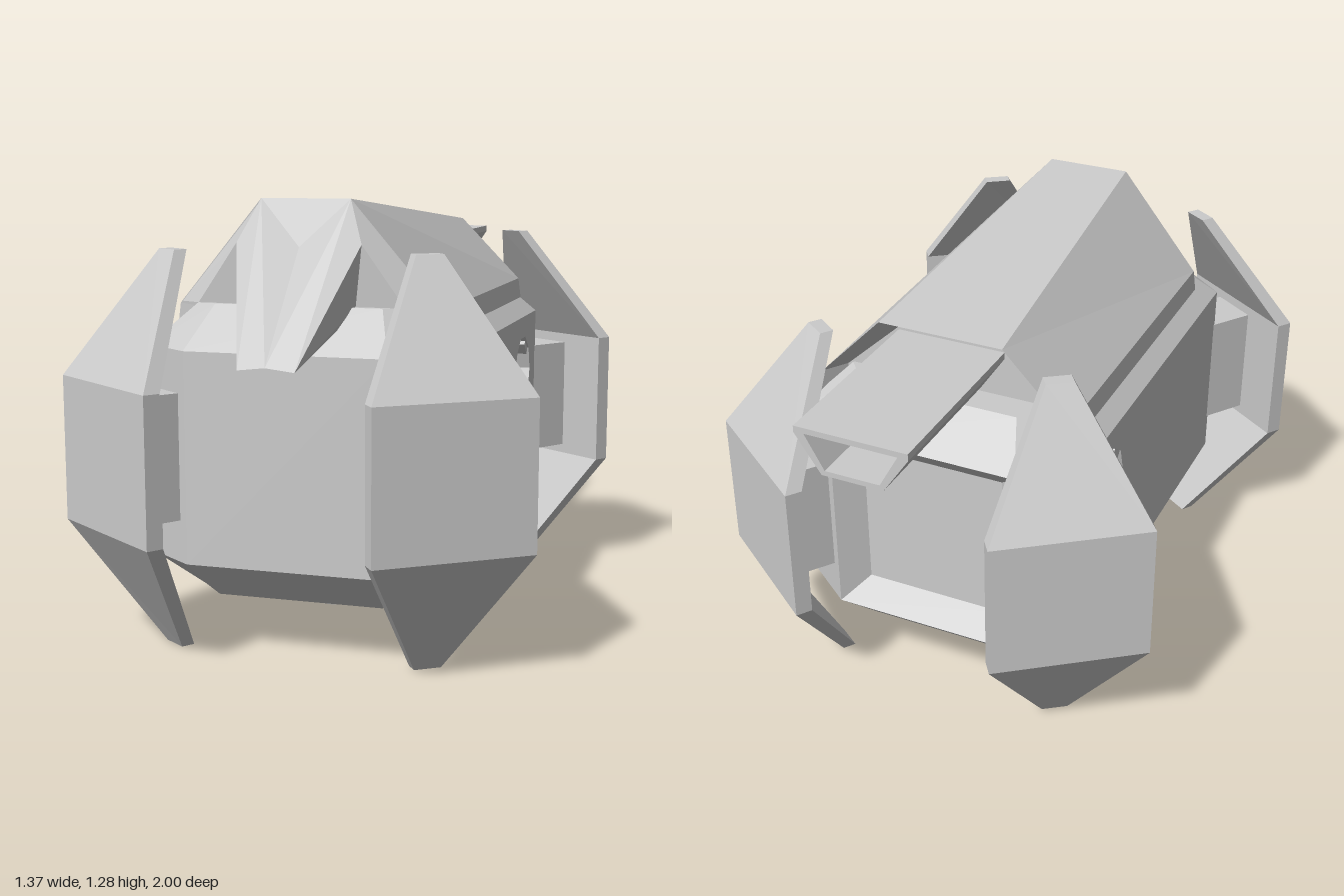
import * as THREE from 'three';
import { ConvexGeometry } from 'three/addons/geometries/ConvexGeometry.js';

const grey = new THREE.MeshStandardMaterial({ color: 0xcccccc, flatShading: true, side: THREE.DoubleSide });

function add(parent, name, geometry) {
  const mesh = new THREE.Mesh(geometry, grey);
  mesh.name = name;
  parent.add(mesh);
  return mesh;
}

// Joins rings of equal length with flat quads; skip(band, edge) leaves openings
function loft(rings, { capStart = true, capEnd = true, skip = () => false } = {}) {
  const pos = [];
  const tri = (...pts) => pts.forEach((p) => pos.push(...p));
  const n = rings[0].length;
  for (let r = 0; r < rings.length - 1; r++) {
    for (let i = 0; i < n; i++) {
      if (skip(r, i)) continue;
      const j = (i + 1) % n, a = rings[r], b = rings[r + 1];
      tri(a[i], a[j], b[j]);
      tri(a[i], b[j], b[i]);
    }
  }
  const first = rings[0], last = rings[rings.length - 1];
  for (let i = 1; i < n - 1; i++) {
    if (capStart) tri(first[0], first[i + 1], first[i]);
    if (capEnd) tri(last[0], last[i], last[i + 1]);
  }
  const g = new THREE.BufferGeometry();
  g.setAttribute('position', new THREE.Float32BufferAttribute(pos, 3));
  g.computeVertexNormals();
  return g;
}

const convex = (pts) => new ConvexGeometry(pts.map((p) => new THREE.Vector3(...p)));
const MID = 0.07; // z of the body's centre
const HOLE = { z: -0.315, y: 0.685, r: 0.122, sides: 10 };

// Eight-sided plan of the body, w and l being half width and half length
function plan(y, inset) {
  const w = 0.44 - inset, l = 0.71 - inset, x = 0.29 - inset * 0.4, e = l - 0.11 + inset * 0.2;
  return [[w, e], [w, -e], [x, -l], [-x, -l], [-w, -e], [-w, e], [-x, l], [x, l]]
    .map(([px, pz]) => [px, y, pz + MID]);
}

function holeRing(x) {
  return Array.from({ length: HOLE.sides }, (_, i) => {
    const a = (i / HOLE.sides) * Math.PI * 2;
    return [x, HOLE.y + HOLE.r * Math.sin(a), HOLE.z + HOLE.r * Math.cos(a)];
  });
}

function buildBody(root) {
  const body = new THREE.Group();
  body.name = 'body';
  root.add(body);
  const rings = [plan(0.155, 0.12), plan(0.27, 0), plan(0.87, 0), plan(0.99, 0.12)];
  add(body, 'bodyShell', loft(rings, { skip: (r, i) => r === 1 && (i === 0 || i === 2 || i === 4) }));

  // Side walls with the through hole
  const wall = new THREE.Shape([[-0.67, 0.27], [0.53, 0.27], [0.53, 0.87], [-0.67, 0.87]]
    .map(([x, y]) => new THREE.Vector2(x, y)));
  wall.holes.push(new THREE.Path(holeRing(0).map(([, y, z]) => new THREE.Vector2(-z, y))));
  for (const s of [1, -1]) {
    const side = add(body, s > 0 ? 'leftWall' : 'rightWall', new THREE.ShapeGeometry(wall));
    side.rotation.y = Math.PI / 2;
    side.position.x = s * 0.44;
  }
  add(body, 'holeLining', loft([holeRing(-0.44), holeRing(0.44)], { capStart: false, capEnd: false }));
  for (let i = 0; i < 4; i++) {
    const a = (i + 0.5) * Math.PI / 2;
    const rail = add(body, 'holeRail', new THREE.BoxGeometry(0.87, 0.025, 0.05));
    rail.position.set(0, HOLE.y + 0.11 * Math.sin(a), HOLE.z + 0.11 * Math.cos(a));
    rail.rotation.x = Math.PI / 2 - a;
  }

  // Recessed rear panel
  const rect = (x, y0, y1, z) => [[x, y0, z], [-x, y0, z], [-x, y1, z], [x, y1, z]];
  add(body, 'rearRecess', loft([rect(0.29, 0.27, 0.87, -0.64), rect(0.22, 0.34, 0.8, -0.57)], { capStart: false }));
}

function buildRoof(root) {
  const section = (z, top, topY, k, topZ = z) => [
    [0.4 * k, 0.87, z], [0.385 * k, 0.98, z], [top * k, topY, topZ],
    [-top * k, topY, topZ], [-0.385 * k, 0.98, z], [-0.4 * k, 0.87, z],
  ];
  add(root, 'roof', loft([
    section(-0.43, 0.18, 1.145, 0.88),
    section(-0.5, 0.19, 1.18, 1),
    section(0.57, 0.13, 1.28, 1, 0.585),
  ]));
}

function buildNose(root) {
  const nose = new THREE.Group();
  nose.name = 'nose';
  root.add(nose);
  const dip = [0, 1.15, 0.645];
  for (const s of [1, -1]) {
    const side = (pts) => convex(pts.map(([x, y, z]) => [s * x, y, z]));
    // Prong running down over the front edge
    add(nose, 'prong', side([[0.13, 1.28, 0.585], [0.18, 1.16, 0.65], [0.08, 0.845, 0.915],
      [0, 0.855, 0.92], dip, [0.16, 0.99, 0.64], [0.135, 0.94, 0.7]]));
    // Sloping brow beside the prong
    add(nose, 'brow', side([[0.13, 1.275, 0.585], [0.18, 1.16, 0.65], [0.3, 0.99, 0.64],
      [0.16, 0.99, 0.64], [0.38, 0.985, 0.568], [0.13, 0.99, 0.565]]));
  }
  add(nose, 'noseCentre', convex([[-0.13, 1.28, 0.585], [0.13, 1.28, 0.585], dip, [0, 1, 0.57]]));
}

// Open-ended chute behind the roof
function buildChute(root) {
  const v = (pts) => pts.map(([x, y]) => new THREE.Vector2(x, y));
  const shape = new THREE.Shape(v([[-0.165, 1.13], [-0.165, 1.11], [-0.09, 1.0], [0.09, 1.0], [0.165, 1.11], [0.165, 1.13]]));
  shape.holes.push(new THREE.Path(v([[-0.135, 1.113], [-0.08, 1.015], [0.08, 1.015], [0.135, 1.113]])));
  const chute = add(root, 'rearChute', new THREE.ExtrudeGeometry(shape, { depth: 0.58, bevelEnabled: false }));
  chute.position.z = -1;
}

// Bent armour plate at one corner, with a block holding it to the body
function buildPlate(root, sx, sz) {
  const nx = 0.58, nz = 0.81;
  const row = (y, a, b, t) => {
    const pts = [a, b, [b[0] - nx * t, b[1] - nz * t], [a[0] - nx * t, a[1] - nz * t]];
    const ring = pts.map(([x, z]) => [sx * x, y, MID + sz * (z - MID)]);
    return sx * sz > 0 ? ring.reverse() : ring;
  };
  const wide = [[0.685, 0.725], [0.31, 0.995], 0.05], tip = [[0.41, 0.655], [0.345, 0.7], 0.04];
  // Rings run upwards, anticlockwise as seen from above
  const rings = [row(0, ...tip), row(0.36, ...wide), row(0.78, ...wide), row(1.14, ...tip)];
  rings.forEach((r) => r.reverse());
  add(root, 'cornerPlate', loft(rings));
  const mount = add(root, 'plateMount', new THREE.BoxGeometry(0.16, 0.36, 0.16));
  mount.position.set(sx * 0.42, 0.57, MID + sz * (0.77 - MID));
  mount.rotation.y = Math.atan2(sx * nx, sz * nz);
}

export function createModel() {
  const root = new THREE.Group();
  root.name = 'armouredPod';
  buildBody(root);
  buildRoof(root);
  buildNose(root);
  buildChute(root);
  for (const sx of [1, -1]) for (const sz of [1, -1]) buildPlate(root, sx, sz);

  // Hollow ring under the belly
  const profile = [[0.275, 0.156], [0.245, 0.065], [0.215, 0.065], [0.2, 0.15], [0, 0.15]]
    .map(([x, y]) => new THREE.Vector2(x, y));
  const ring = add(root, 'bellyRing', new THREE.LatheGeometry(profile, 14));
  ring.position.z = 0.145;
  return root;
}
